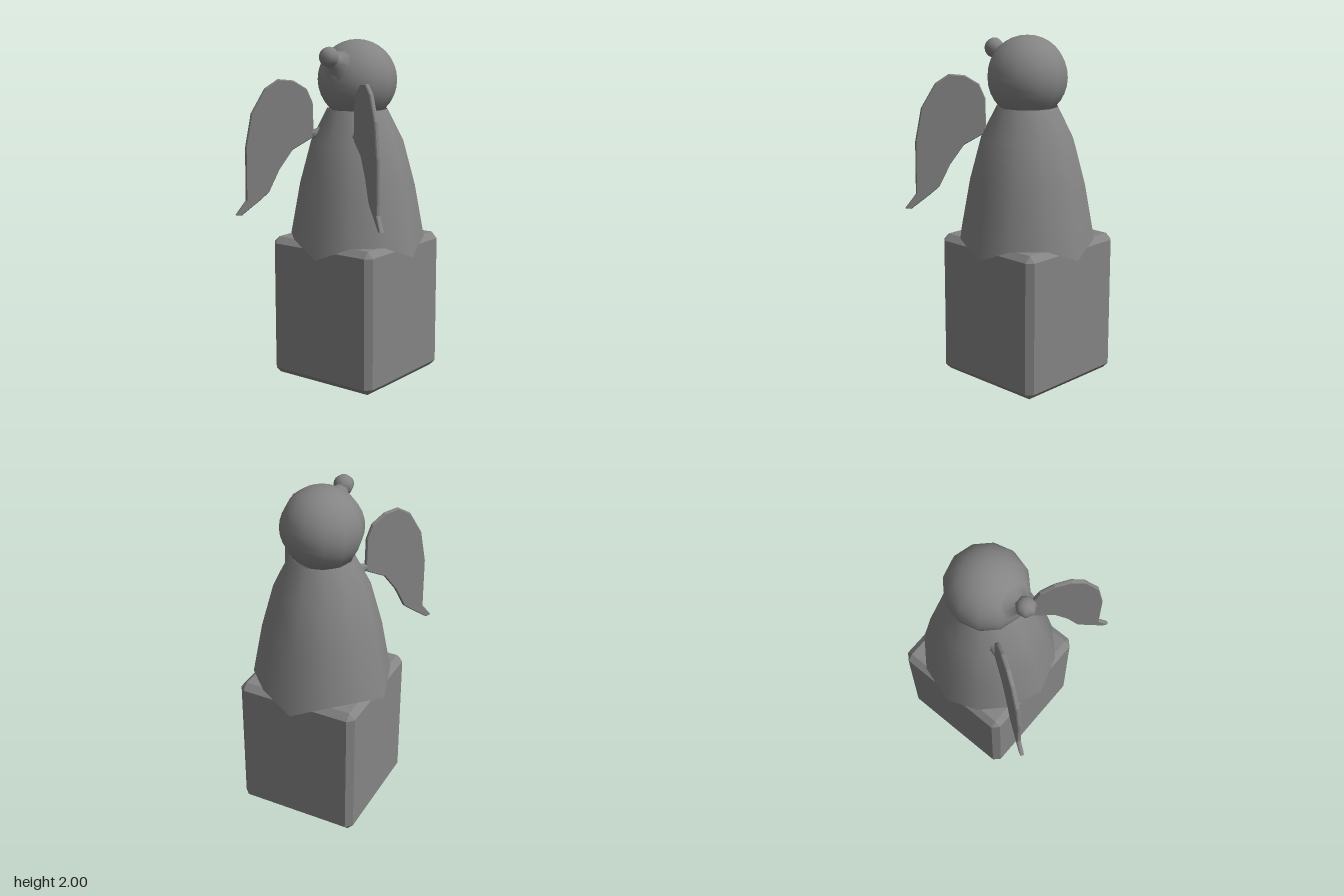
import * as THREE from 'three';
import { ConvexGeometry } from 'three/addons/geometries/ConvexGeometry.js';

const GREY = 0x848484;
const smooth = new THREE.MeshStandardMaterial({ color: GREY, side: THREE.DoubleSide });
const flat = new THREE.MeshStandardMaterial({ color: GREY, flatShading: true });
const AXIS = [0.107, -0.045]; // x, z of the figure's upright axis

function addMesh(parent, name, geometry, material, x = 0, y = 0, z = 0) {
  const mesh = new THREE.Mesh(geometry, material);
  mesh.name = name;
  mesh.position.set(x, y, z);
  parent.add(mesh);
  return mesh;
}

const lathe = (points, sides) =>
  new THREE.LatheGeometry(points.map(([r, y]) => new THREE.Vector2(r, y)), sides);

// Box with every edge cut at 45 degrees
function chamferedBox(w, h, d, c) {
  const points = [];
  for (const sx of [-1, 1]) for (const sy of [-1, 1]) for (const sz of [-1, 1]) {
    for (let full = 0; full < 3; full++) {
      const half = [w / 2, h / 2, d / 2].map((v, i) => (i === full ? v : v - c));
      points.push(new THREE.Vector3(sx * half[0], sy * half[1], sz * half[2]));
    }
  }
  return new ConvexGeometry(points);
}

// Twelve-sided cloth whose hem hangs lower at the middle of each block face
function clothGeometry(profile) {
  const geometry = lathe(profile, 12);
  const p = geometry.attributes.position;
  for (let i = 0; i < p.count; i++) {
    const x = p.getX(i), z = p.getZ(i);
    const onAxis = Math.min(Math.abs(x), Math.abs(z)) < 0.001;
    if (onAxis && Math.hypot(x, z) > 0.395) p.setY(i, 0.76);
  }
  return geometry;
}

// Thin wing with a narrow bevel, running outwards along its local x
function wingGeometry() {
  const outline = [
    [0.475, 1.008], [0.412, 1.09], [0.41, 1.395], [0.373, 1.59], [0.29, 1.73],
    [0.21, 1.78], [0.12, 1.77], [0.04, 1.72], [0.005, 1.64], [0, 1.44],
    [0.13, 1.37], [0.21, 1.26], [0.275, 1.13], [0.33, 1.085], [0.44, 1.004],
  ];
  const shape = new THREE.Shape(outline.map(([x, y]) => new THREE.Vector2(x, y)));
  const geometry = new THREE.ExtrudeGeometry(shape, {
    depth: 0.012, bevelThickness: 0.006, bevelSize: 0.005, bevelOffset: -0.005, bevelSegments: 1,
  });
  return geometry.translate(0, 0, -0.006);
}

export function createModel() {
  const model = new THREE.Group();
  model.name = 'wingedFigureOnBlock';

  addMesh(model, 'block', chamferedBox(0.724, 0.845, 0.725, 0.036), flat, 0.107, 0.4225, -0.052);

  const figure = new THREE.Group();
  figure.name = 'figure';
  figure.position.set(AXIS[0], 0, AXIS[1]);
  model.add(figure);

  addMesh(figure, 'robe', clothGeometry([[0.399, 0.845], [0.342, 1.155], [0.272, 1.415], [0.178, 1.6]]), smooth);
  addMesh(figure, 'robeUnderside', clothGeometry([[0, 0.848], [0.335, 0.848], [0.399, 0.845]]), smooth);
  addMesh(figure, 'head', new THREE.SphereGeometry(0.233, 12, 16), smooth, 0, 1.767, 0);

  // Hair bun with a flared stalk leaning out from the back of the head
  const stalk = addMesh(figure, 'hairStalk',
    lathe([[0.135, 0.18], [0.085, 0.213], [0.045, 0.25], [0.038, 0.29]], 10), smooth, 0, 1.767, 0);
  stalk.rotation.z = Math.atan2(0.26, 0.142);
  addMesh(figure, 'hairBun', new THREE.SphereGeometry(0.058, 7, 10), smooth, -0.262, 1.909, 0);

  // Wings: root x, root z, outward direction x, z
  const wings = [
    ['leftWing', -0.09, 0.09, -0.27, 0.375],
    ['rightWing', -0.095, -0.212, -0.405, -0.258],
  ];
  for (const [name, x, z, dx, dz] of wings) {
    const wing = new THREE.Group();
    wing.name = name;
    wing.position.set(x, 0, z);
    wing.rotation.y = Math.atan2(-dz, dx);
    model.add(wing);
    addMesh(wing, name + 'Blade', wingGeometry(), flat);
    // Flared joint sunk into the robe
    const joint = addMesh(wing, name + 'Joint', new THREE.CylinderGeometry(0.06, 0.012, 0.13, 8), smooth, -0.035, 1.46, 0);
    joint.rotation.z = Math.PI / 2;
    joint.scale.z = 0.8;
  }
  return model;
}
